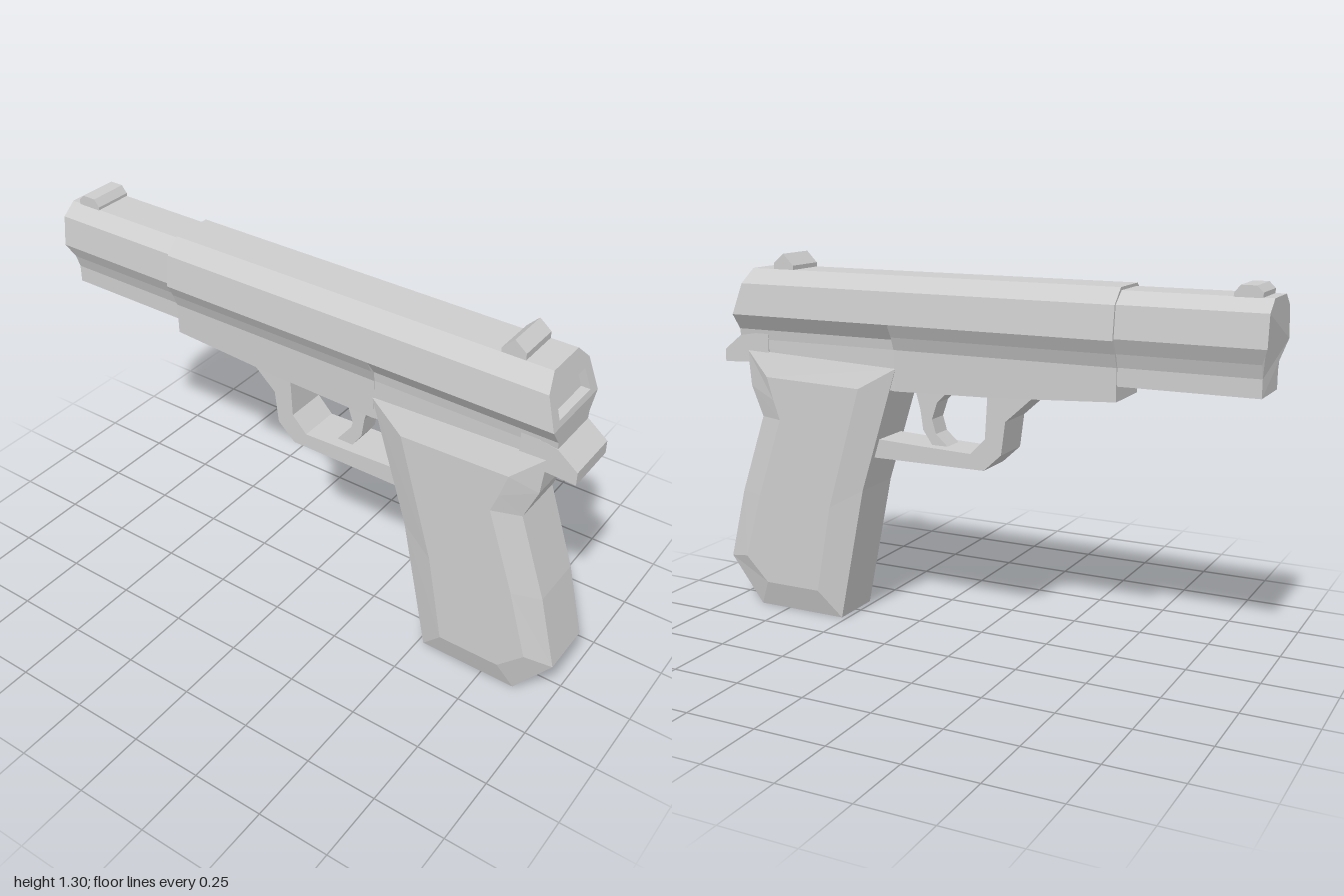
import * as THREE from 'three';

const steel = new THREE.MeshStandardMaterial({ color: 0xcccccc });
steel.name = 'light grey';

const V = (x, y, z) => new THREE.Vector3(x, y, z);

function part(group, name, geometry) {
  const mesh = new THREE.Mesh(geometry, steel);
  mesh.name = name;
  group.add(mesh);
  return mesh;
}

// Faceted skin through rings of equal length; caps are triangulated in the plane given by flat()
function skin(rings, flat, capStart = true, capEnd = true) {
  const out = [];
  const tri = (...points) => points.forEach((p) => out.push(p.x, p.y, p.z));
  for (let k = 0; k < rings.length - 1; k++) {
    const r = rings[k], s = rings[k + 1];
    r.forEach((a, i) => {
      const j = (i + 1) % r.length;
      tri(a, r[j], s[j]);
      tri(a, s[j], s[i]);
    });
  }
  const cap = (ring, flip) => {
    for (const [a, b, c] of THREE.ShapeUtils.triangulateShape(ring.map(flat), [])) {
      if (flip) tri(ring[c], ring[b], ring[a]);
      else tri(ring[a], ring[b], ring[c]);
    }
  };
  if (capStart) cap(rings[0], true);
  if (capEnd) cap(rings[rings.length - 1], false);
  const g = new THREE.BufferGeometry();
  g.setAttribute('position', new THREE.Float32BufferAttribute(out, 3));
  g.computeVertexNormals();
  return g;
}

const sideView = (p) => new THREE.Vector2(p.x, p.y);
const endView = (p) => new THREE.Vector2(-p.z, p.y);

// Side profile given a width, centred on z = 0
function slab(points, half) {
  const shape = new THREE.Shape(points.map(([x, y]) => new THREE.Vector2(x, y)));
  return new THREE.ExtrudeGeometry(shape, { depth: half * 2, bevelEnabled: false }).translate(0, 0, -half);
}

// Mirrored cross-section: profile lists [y, half width] from bottom to top
function section(profile, xAt) {
  return [
    ...profile.map(([y, h]) => V(xAt(y), y, -h)),
    ...[...profile].reverse().map(([y, h]) => V(xAt(y), y, h)),
  ];
}

// Flat end panel looking along +x, bent onto x = xAt(y)
function endPanel(outline, xAt, hole) {
  const toPoints = (list) => section(list, () => 0).map(endView);
  const shape = new THREE.Shape(toPoints(outline));
  if (hole) shape.holes.push(new THREE.Path(toPoints(hole)));
  const g = new THREE.ShapeGeometry(shape);
  const p = g.attributes.position;
  for (let i = 0; i < p.count; i++) p.setXYZ(i, xAt(p.getY(i)), p.getY(i), -p.getX(i));
  g.computeVertexNormals();
  return g;
}

export function createModel() {
  const model = new THREE.Group();
  model.name = 'model';

  // Front barrel housing, its lower front edge set slightly back
  const barrel = [[0.94, 0.09], [1.0, 0.09], [1.045, 0.105], [1.095, 0.13], [1.2, 0.118], [1.24, 0.068]];
  part(model, 'barrelHousing', skin([
    section(barrel, (y) => (y < 1.05 ? -0.98 : -1)),
    section(barrel, () => -0.51),
  ], endView));

  // Main body: shared upper profile, with the waist changing above the grip
  const upper = [[1.09, 0.14], [1.2, 0.126], [1.25, 0.075]];
  const front = (bottom) => [[bottom, 0.095], [1.0, 0.097], [1.045, 0.115], ...upper];
  const rear = (bottom) => [[bottom, 0.094], [1.0, 0.095], [1.035, 0.1], ...upper];
  const backX = (y) => (y > 1.09 ? 0.92 - (y - 1.09) * 0.05 / 0.16 : 0.92);
  const body = new THREE.Group();
  body.name = 'body';
  model.add(body);
  part(body, 'slideAndFrame', skin([
    section(front(0.89), () => -0.52),
    section(front(0.867), () => -0.1),
    section(front(0.857), () => 0.285),
    section(rear(0.857), () => 0.285),
    section(rear(0.93), backX),
  ], endView, true, false));

  // Back end with a shallow slot
  const slot = [[1.11, 0.098], [1.18, 0.091]];
  const floorX = (y) => backX(y) - 0.03;
  part(body, 'backPlate', endPanel(upper, backX, slot));
  part(body, 'lowerBackPlate', endPanel(rear(0.93).slice(0, 4), backX));
  part(body, 'slotFloor', endPanel(slot, floorX));
  part(body, 'slotWalls', skin([
    section(slot, floorX).reverse(),
    section(slot, backX).reverse(),
  ], endView, false, false));

  // Tang over the back of the grip
  part(model, 'tang', slab([
    [0.8, 0.9], [0.89, 0.915], [0.99, 0.91], [0.99, 0.955], [0.92, 1.01], [0.8, 1.03],
  ], 0.098));

  // Grip: an outer outline with raised, bevelled side faces
  const outer = [[0.28, 0.935], [0.42, 0.49], [0.52, 0], [0.87, 0], [1.0, 0.17],
    [0.935, 0.43], [0.835, 0.72], [0.88, 0.83], [0.892, 0.96]];
  const inner = [[0.41, 0.86], [0.54, 0.42], [0.6, 0.1], [0.82, 0.1], [0.91, 0.19],
    [0.84, 0.43], [0.74, 0.72], [0.765, 0.79], [0.79, 0.872]];
  const ring = (points, z) => points.map(([x, y]) => V(x, y, z));
  part(model, 'grip', skin([
    ring(inner, -0.13), ring(outer, -0.097), ring(outer, 0.097), ring(inner, 0.13),
  ], sideView));

  // Trigger guard and trigger
  part(model, 'triggerGuard', slab([
    [-0.23, 0.88], [-0.125, 0.785], [-0.11, 0.67], [-0.045, 0.61], [0.42, 0.61],
    [0.42, 0.68], [0.2, 0.67], [0.005, 0.663], [-0.05, 0.72], [-0.06, 0.88],
  ], 0.075));
  part(model, 'trigger', slab([
    [0.09, 0.88], [0.15, 0.82], [0.17, 0.76], [0.155, 0.71], [0.11, 0.67],
    [0.17, 0.67], [0.205, 0.72], [0.215, 0.79], [0.24, 0.88],
  ], 0.04));

  // Sights
  part(model, 'frontSight', slab([
    [-0.965, 1.235], [-0.875, 1.235], [-0.875, 1.25], [-0.895, 1.275], [-0.945, 1.275], [-0.965, 1.255],
  ], 0.07));
  part(model, 'rearSight', slab([
    [0.7, 1.245], [0.78, 1.245], [0.78, 1.272], [0.74, 1.305], [0.7, 1.265],
  ], 0.075));

  return model;
}
